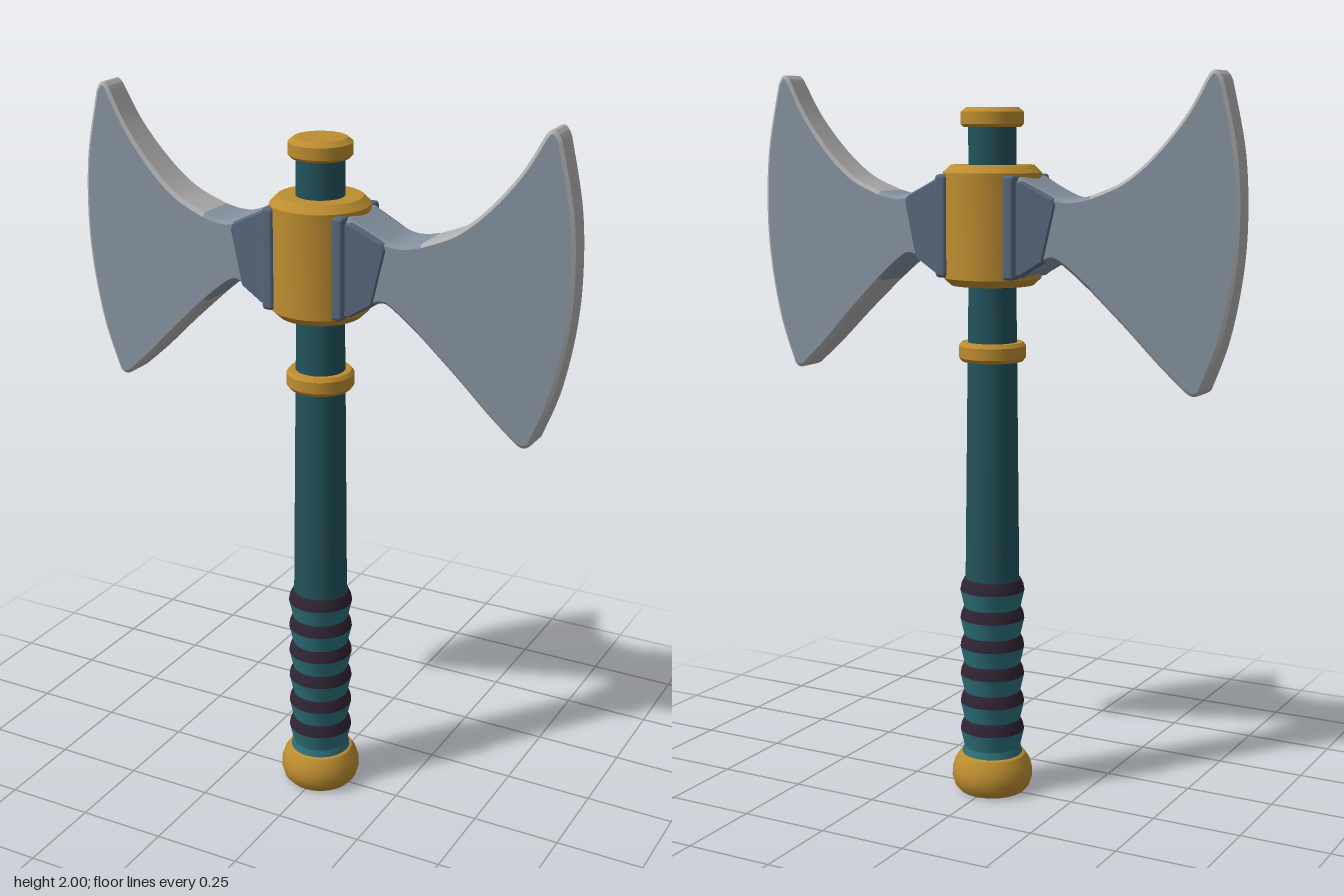
import * as THREE from 'three';
import { toCreasedNormals } from 'three/addons/utils/BufferGeometryUtils.js';
import { RoundedBoxGeometry } from 'three/addons/geometries/RoundedBoxGeometry.js';

const material = (name, color) => {
  const m = new THREE.MeshStandardMaterial({ color });
  m.name = name;
  return m;
};

export function createModel() {
  const gold = material('gold', 0xbd8d30);
  const darkTeal = material('dark teal', 0x22535b);
  const teal = material('teal', 0x2d717a);
  const wrap = material('dark wrap', 0x2f2433);
  const steel = material('blue steel', 0x8592a0);
  const rimSteel = material('pale rim steel', 0xb0afb0);
  const slate = material('slate', 0x57677b);

  const model = new THREE.Group();
  model.name = 'doubleAxe';

  const add = (name, geometry, mat, parent = model) => {
    const mesh = new THREE.Mesh(geometry, mat);
    mesh.name = name;
    parent.add(mesh);
    return mesh;
  };
  // Turned part from [radius, height] pairs, listed bottom to top
  const turned = (name, profile, mat) => {
    const points = profile.map(([r, y]) => new THREE.Vector2(r, y));
    return add(name, toCreasedNormals(new THREE.LatheGeometry(points, 32), 0.5), mat);
  };

  // Handle and gold fittings
  turned('shaft', [[0.076, 0.55], [0.075, 0.65], [0.068, 1.25], [0.065, 1.45], [0.065, 1.88]], darkTeal);
  turned('pommel', [[0, 0], [0.094, 0], [0.106, 0.014], [0.114, 0.04], [0.113, 0.062],
    [0.106, 0.085], [0.093, 0.105], [0.08, 0.112], [0, 0.112]], gold);
  turned('collar', [[0.06, 1.23], [0.084, 1.23], [0.092, 1.24], [0.092, 1.272], [0.084, 1.282], [0.06, 1.282]], gold);
  turned('hub', [[0.05, 1.438], [0.113, 1.438], [0.134, 1.458], [0.134, 1.74], [0.113, 1.76], [0.05, 1.76]], gold);
  turned('topCap', [[0.05, 1.86], [0.077, 1.86], [0.085, 1.868], [0.085, 1.9], [0.07, 1.912], [0, 1.912]], gold);

  // Grip: stacked ridges, dark above each crest and teal below
  const pitch = 0.0815;
  for (let i = 0; i < 6; i++) {
    const top = 0.617 - i * pitch, crest = top - 0.033, base = top - pitch;
    turned('gripBand', [[0.09, crest], [0.087, crest + 0.016], [0.079, top]], wrap);
    turned('gripRidge', [[0.079, base], [0.084, base + 0.022], [0.09, crest]], teal);
  }
  turned('gripTop', [[0.079, 0.617], [0.07, 0.618]], wrap);
  turned('gripBase', [[0.086, 0.105], [0.084, 0.115], [0.079, 0.617 - 6 * pitch]], teal);

  // Extrudes an outline whose thickness falls evenly away from the hub
  const tapered = (shape, extra, bevelSize) => {
    const g = new THREE.ExtrudeGeometry(shape, {
      depth: 0.84, bevelThickness: 0.08, bevelSize, bevelOffset: -bevelSize,
      bevelSegments: 1, curveSegments: 32,
    });
    g.translate(0, 0, -0.42);
    const p = g.attributes.position;
    for (let i = 0; i < p.count; i++) {
      p.setZ(i, p.getZ(i) * 2 * (0.096 - 0.0855 * p.getX(i) + extra));
    }
    return toCreasedNormals(g, 0.4);
  };

  const v2 = (list) => list.map(([x, y]) => new THREE.Vector2(x, y));
  const bladeShape = new THREE.Shape();
  bladeShape.moveTo(0.06, 1.46);
  bladeShape.lineTo(0.125, 1.465);
  bladeShape.splineThru(v2([[0.17, 1.49], [0.215, 1.515], [0.26, 1.49], [0.322, 1.438]]));
  bladeShape.splineThru(v2([[0.42, 1.345], [0.51, 1.255], [0.585, 1.187]]));
  bladeShape.quadraticCurveTo(0.61, 1.168, 0.628, 1.19);
  bladeShape.splineThru(v2([[0.676, 1.32], [0.708, 1.48], [0.718, 1.63], [0.707, 1.8], [0.668, 1.975]]));
  bladeShape.quadraticCurveTo(0.648, 2.022, 0.626, 1.985);
  bladeShape.splineThru(v2([[0.57, 1.888], [0.49, 1.792], [0.41, 1.725], [0.322, 1.686]]));
  bladeShape.splineThru(v2([[0.275, 1.676], [0.23, 1.679], [0.17, 1.705], [0.125, 1.73]]));
  bladeShape.lineTo(0.06, 1.735);

  // Blade faces and neck are blue steel; the rim past the neck is pale
  const bladeGeometry = tapered(bladeShape, 0, 0.009);
  const sides = bladeGeometry.groups[1];
  const pos = bladeGeometry.attributes.position;
  for (let i = sides.start; i < sides.start + sides.count; i += 3) {
    const x = (pos.getX(i) + pos.getX(i + 1) + pos.getX(i + 2)) / 3;
    bladeGeometry.addGroup(i, 3, x > 0.32 ? 1 : 0);
  }
  bladeGeometry.groups.splice(1, 1);
  // Merge neighbouring runs of the same colour
  bladeGeometry.groups = bladeGeometry.groups.reduce((runs, g) => {
    const last = runs[runs.length - 1];
    if (last && last.materialIndex === g.materialIndex && last.start + last.count === g.start) last.count += g.count;
    else runs.push({ ...g });
    return runs;
  }, []);

  // Slate cheek plates over the neck
  const cheekGeometry = tapered(new THREE.Shape(v2([[0.08, 1.468], [0.13, 1.468], [0.195, 1.508],
    [0.23, 1.66], [0.222, 1.677], [0.13, 1.722], [0.08, 1.722]])), 0.007, 0.006);
  const clampGeometry = new RoundedBoxGeometry(0.034, 0.275, 0.218, 2, 0.01);

  // Two matching heads, turned half a circle apart
  for (const [name, angle] of [['leftHead', 0], ['rightHead', Math.PI]]) {
    const head = new THREE.Group();
    head.name = name;
    head.rotation.y = angle;
    add('blade', bladeGeometry, [steel, rimSteel], head);
    add('cheekPlates', cheekGeometry, slate, head);
    add('clamp', clampGeometry, slate, head).position.set(0.102, 1.598, 0);
    model.add(head);
  }
  return model;
}
